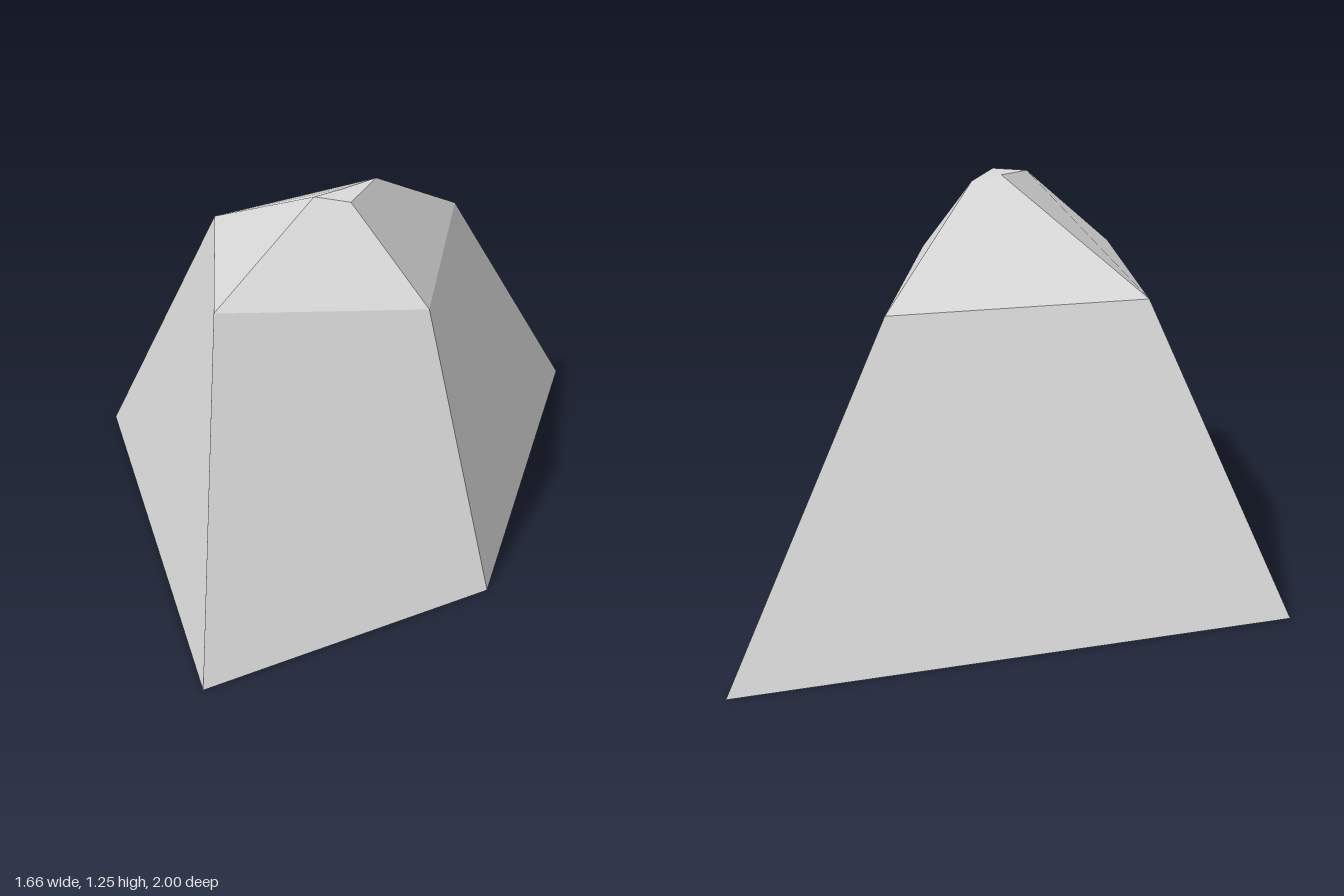
import * as THREE from 'three';

// Four-sided rings [x, z], ordered back-left, front-left, front-right, back-right
const rings = [
  { y: 0, pts: [[-0.833, -0.508], [-0.272, 1], [0.557, 0.447], [0.832, -1]] },
  { y: 0.955, pts: [[-0.389, -0.25], [-0.29, 0.447], [0.342, 0.365], [0.405, -0.43]] },
  { y: 1.247, pts: [[0.07, 0.165], [-0.012, 0.234], [0.1, 0.265], [0.163, 0.073]] },
].map(({ y, pts }) => pts.map(([x, z]) => new THREE.Vector3(x, y, z)));

function facetedGeometry() {
  const positions = [], normals = [];

  // One evenly shaded facet, folded along the diagonal from its first to third corner
  function facet(a, b, c, d) {
    const normal = c.clone().sub(a).cross(d.clone().sub(b)).normalize();
    for (const p of [a, b, c, a, c, d]) {
      positions.push(p.x, p.y, p.z);
      normals.push(normal.x, normal.y, normal.z);
    }
  }

  // Side facets between neighbouring rings: left, front, right, back
  const [base, shoulder, crown] = rings;
  for (let i = 0; i < 4; i++) {
    const j = (i + 1) % 4;
    facet(base[j], shoulder[j], shoulder[i], base[i]);
    if (i < 3) facet(shoulder[i], shoulder[j], crown[j], crown[i]);
    else facet(shoulder[j], crown[j], crown[i], shoulder[i]);
  }
  // Top facet and underside
  facet(...crown);
  facet(...[...base].reverse());

  const geometry = new THREE.BufferGeometry();
  geometry.setAttribute('position', new THREE.Float32BufferAttribute(positions, 3));
  geometry.setAttribute('normal', new THREE.Float32BufferAttribute(normals, 3));
  return geometry;
}

export function createModel() {
  const group = new THREE.Group();
  group.name = 'rock';
  const stone = new THREE.MeshStandardMaterial({ color: 0xdadada });
  stone.name = 'pale stone grey';
  const boulder = new THREE.Mesh(facetedGeometry(), stone);
  boulder.name = 'boulder';
  group.add(boulder);
  return group;
}
